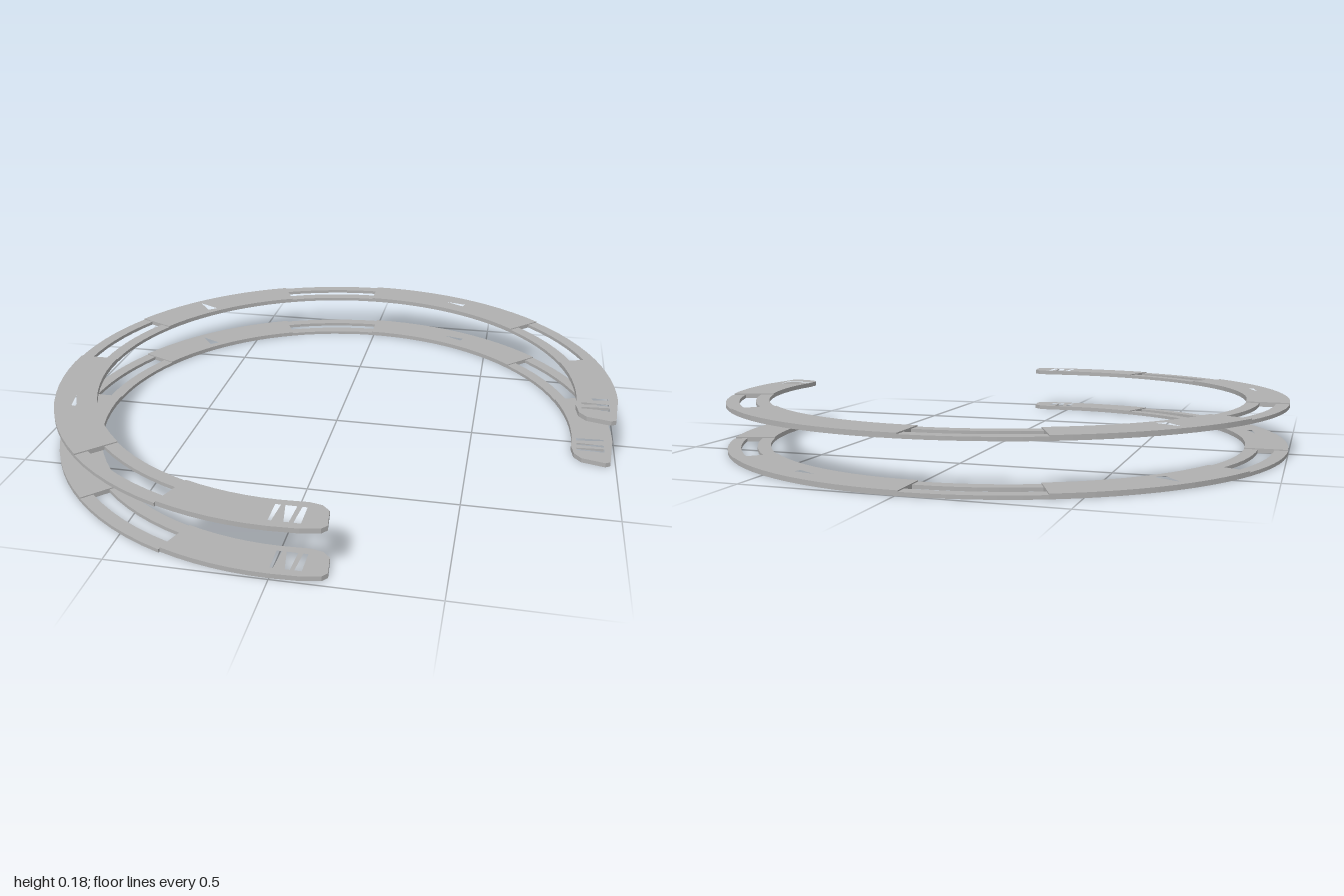
import * as THREE from 'three';

const INNER = 0.855, OUTER = 1, SLOT_IN = 0.9, SLOT_OUT = 0.955;
const THICK = 0.016, RAIL_THICK = 0.012, LEVELS = [0, 0.16];

// Plan points are (x, z); the shape uses -z so that extrusion points up.
const plan = (x, z) => new THREE.Vector2(x, -z);
const polar = (r, deg) => {
  const a = THREE.MathUtils.degToRad(deg);
  return plan(r * Math.cos(a), r * Math.sin(a));
};

function arc(r, from, to) {
  const n = Math.max(2, Math.ceil(Math.abs(to - from) / 4));
  return Array.from({ length: n + 1 }, (_, i) => polar(r, from + ((to - from) * i) / n));
}

function plate(points, height, holes = []) {
  const shape = new THREE.Shape(points);
  shape.holes = holes.map((h) => new THREE.Path(h));
  const geo = new THREE.ExtrudeGeometry(shape, { depth: height, bevelEnabled: false });
  return geo.rotateX(-Math.PI / 2);
}

const sector = (r0, r1, a0, a1) => [...arc(r1, a0, a1), ...arc(r0, a1, a0)];
const poly = (list) => list.map(([x, z]) => plan(x, z));

export function createModel() {
  const model = new THREE.Group();
  model.name = 'doubleOpenRing';
  const grey = new THREE.MeshStandardMaterial({ color: 0xb0b0b0 });
  grey.name = 'grey';

  // Angles of the slotted stretches, measured from +x towards +z
  const slots = [[110.5, 134], [180.5, 205], [245.5, 269.5], [315, 339]];

  // Small triangular cut-outs in the middle pads
  const nicks = {
    1: poly([[-0.87, 0.32], [-0.83, 0.405], [-0.852, 0.4]]),
    2: poly([[-0.73, -0.645], [-0.645, -0.6], [-0.675, -0.575]]),
    3: poly([[0.32, -0.87], [0.4, -0.85], [0.39, -0.828]]),
  };

  // Rounded tips beyond the first and last pads
  const startTip = poly([[0.09, 0.851], [0.13, 0.86], [0.155, 0.885], [0.165, 0.96], [0.15, 0.978], [0.09, 0.99]]);
  const endTip = poly([[0.99, 0.06], [0.982, 0.155], [0.965, 0.165], [0.885, 0.145], [0.86, 0.115], [0.851, 0.06]]);

  // Barred windows in the tips
  const startHoles = [
    [[-0.005, 0.88], [0.012, 0.88], [0.005, 0.965], [-0.005, 0.965]],
    [[0.025, 0.88], [0.06, 0.88], [0.055, 0.965], [0.04, 0.965]],
    [[0.075, 0.88], [0.09, 0.88], [0.09, 0.965], [0.068, 0.965]],
  ].map(poly);
  const endHoles = [
    [[0.87, 0], [0.965, -0.005], [0.965, 0.005], [0.87, 0.018]],
    [[0.87, 0.035], [0.965, 0.04], [0.965, 0.052], [0.87, 0.05]],
    [[0.87, 0.072], [0.965, 0.065], [0.965, 0.09], [0.87, 0.088]],
  ].map(poly);

  const parts = [];
  // Solid pads between the slots
  for (let i = 0; i < 3; i++) {
    const pad = sector(INNER, OUTER, slots[i][1], slots[i + 1][0]);
    parts.push(['pad', plate(pad, THICK, [nicks[i + 1]])]);
  }
  const first = [...startTip, ...arc(0.994, 90, slots[0][0]), ...arc(INNER, slots[0][0], 90)];
  parts.push(['frontEnd', plate(first, THICK, startHoles)]);
  const last = [...arc(0.996, slots[3][1], 360), ...endTip, ...arc(INNER, 360, slots[3][1])];
  parts.push(['sideEnd', plate(last, THICK, endHoles)]);

  // Slightly thinner rails on either side of each slot, with short end blocks
  for (const [a, b] of slots) {
    parts.push(['innerRail', plate(sector(INNER, SLOT_IN, a, b), RAIL_THICK)]);
    parts.push(['outerRail', plate(sector(SLOT_OUT, OUTER, a, b), RAIL_THICK)]);
  }

  // Two identical rings, one above the other
  LEVELS.forEach((y, i) => {
    const ring = new THREE.Group();
    ring.name = i ? 'upperRing' : 'lowerRing';
    ring.position.y = y;
    for (const [name, geo] of parts) {
      const mesh = new THREE.Mesh(geo, grey);
      mesh.name = name;
      ring.add(mesh);
    }
    model.add(ring);
  });
  return model;
}
